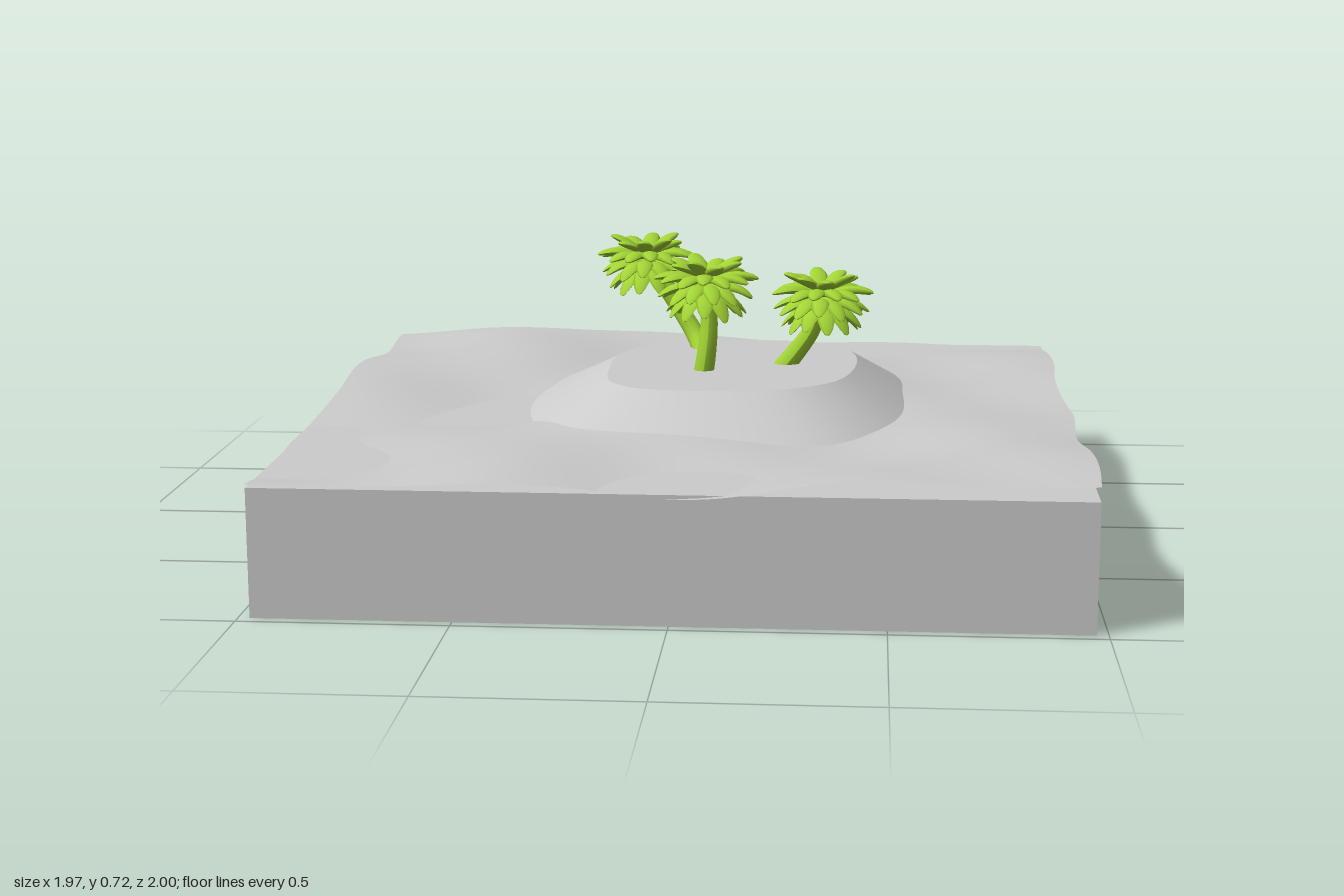
import * as THREE from 'three';
import { mergeGeometries } from 'three/addons/utils/BufferGeometryUtils.js';

const grey = new THREE.MeshStandardMaterial({ color: 0xcccccc });
const greyDouble = new THREE.MeshStandardMaterial({ color: 0xcccccc, side: THREE.DoubleSide });
const green = new THREE.MeshStandardMaterial({ color: 0xa2d435 });

function mesh(name, geometry, material) {
  const m = new THREE.Mesh(geometry, material);
  m.name = name;
  return m;
}

// Rolling water sheet, displaced upwards and a little sideways
function waterGeometry() {
  const g = new THREE.PlaneGeometry(1.95, 1.95, 64, 64).rotateX(-Math.PI / 2);
  const p = g.attributes.position;
  for (let i = 0; i < p.count; i++) {
    const x = p.getX(i), z = p.getZ(i);
    const fade = Math.exp(-3 * x * x);
    const h = 0.326
      + 0.012 * Math.sin(4.2 * (x + z) + 0.6)
      + 0.008 * Math.sin(7 * x + 3 * z + 1.5)
      + 0.006 * Math.sin(5 * z - 9 * x)
      + 0.004 * Math.sin(13 * z + 6 * x)
      + 0.018 * x * z;
    p.setXYZ(i, x + 0.009 * Math.sin(9 * z + 1), h, z + 0.029 * fade * Math.sin(7.85 * x));
  }
  g.computeVertexNormals();
  return g;
}

// Smooth closed outline through [x, z] points
function outline(points, n) {
  const curve = new THREE.CatmullRomCurve3(points.map(([x, z]) => new THREE.Vector3(x, 0, z)), true);
  return Array.from({ length: n }, (_, i) => curve.getPoint(i / n));
}

// Flat-topped island: sloping bank and level cap
function island() {
  const n = 64, topY = 0.415, lowY = 0.29;
  const top = outline([[0.18, -0.43], [0.34, -0.39], [0.41, -0.25], [0.41, 0], [0.36, 0.16], [0.25, 0.26],
    [0.06, 0.3], [-0.13, 0.28], [-0.21, 0.2], [-0.235, 0], [-0.225, -0.2], [-0.15, -0.34], [0, -0.41]], n);
  const foot = outline([[0.3, -0.6], [0.47, -0.54], [0.55, -0.28], [0.55, 0.03], [0.48, 0.26], [0.33, 0.44],
    [0.07, 0.51], [-0.2, 0.46], [-0.32, 0.38], [-0.41, 0.1], [-0.41, -0.2], [-0.34, -0.45], [-0.12, -0.59]], n);
  const pos = [], index = [];
  for (let i = 0; i < n; i++) {
    const low = top[i].clone().lerp(foot[i], 1.35);
    pos.push(top[i].x, topY, top[i].z, low.x, lowY, low.z);
    const a = 2 * i, b = 2 * ((i + 1) % n);
    index.push(a, b, a + 1, b, b + 1, a + 1);
  }
  const bank = new THREE.BufferGeometry();
  bank.setAttribute('position', new THREE.Float32BufferAttribute(pos, 3));
  bank.setIndex(index);
  bank.computeVertexNormals();
  const shape = new THREE.Shape(top.map(v => new THREE.Vector2(v.x, -v.z)));
  const cap = new THREE.ShapeGeometry(shape).rotateX(-Math.PI / 2).translate(0, topY, 0);
  const g = new THREE.Group();
  g.name = 'island';
  g.add(mesh('islandBank', bank, greyDouble), mesh('islandTop', cap, greyDouble));
  return g;
}

// Plump leaf pointing along +x, rising and then drooping
function leaf(length, rise, droop) {
  const g = new THREE.SphereGeometry(1, 8, 8);
  const p = g.attributes.position;
  for (let i = 0; i < p.count; i++) {
    const x = p.getX(i), t = (p.getY(i) + 1) / 2, z = p.getZ(i);
    p.setXYZ(i, 0.015 + t * (length - 0.015), z * 0.011 + rise * t - droop * t * t, x * 0.024);
  }
  g.computeVertexNormals();
  return g;
}

// Layers of leaves: count, length, base height, rise, droop
const layers = [
  [11, 0.105, -0.005, 0.03, 0.08],
  [12, 0.125, 0.015, 0.045, 0.07],
  [13, 0.137, 0.035, 0.06, 0.055],
  [8, 0.1, 0.05, 0.06, 0.022],
];

function crownGeometry() {
  const leaves = [];
  layers.forEach(([count, length, y, rise, droop], k) => {
    for (let i = 0; i < count; i++) {
      const wobble = Math.sin(i * 2.4 + k);
      const l = leaf(length * (1 + 0.04 * wobble), rise + 0.008 * wobble, droop);
      leaves.push(l.rotateY((i / count) * Math.PI * 2 + k * 0.5).translate(0, y, 0));
    }
  });
  return mergeGeometries(leaves);
}

// Tapering trunk along a path
function trunkGeometry(points) {
  const curve = new THREE.CatmullRomCurve3(points.map(v => new THREE.Vector3(...v)));
  const rows = 12, sides = 10;
  const g = new THREE.TubeGeometry(curve, rows, 0.026, sides);
  const p = g.attributes.position, v = new THREE.Vector3();
  for (let i = 0; i < p.count; i++) {
    const t = Math.floor(i / (sides + 1)) / rows;
    const c = curve.getPointAt(t);
    v.fromBufferAttribute(p, i).sub(c).multiplyScalar(1.08 - 0.3 * t).add(c);
    p.setXYZ(i, v.x, v.y, v.z);
  }
  g.computeVertexNormals();
  return g;
}

export function createModel() {
  const model = new THREE.Group();
  model.name = 'islandScene';

  model.add(mesh('base', new THREE.BoxGeometry(1.945, 0.31, 1.945).translate(0, 0.155, 0), grey));
  model.add(mesh('water', waterGeometry(), greyDouble));
  model.add(island());

  // Palms: trunk path from ground to crown
  const palms = [
    [[-0.005, 0.4, -0.29], [-0.03, 0.445, -0.335], [-0.08, 0.52, -0.358], [-0.165, 0.645, -0.355]],
    [[0.015, 0.4, 0.015], [0.025, 0.47, 0.015], [0.03, 0.55, 0.005], [0.022, 0.635, 0]],
    [[0.22, 0.4, -0.09], [0.26, 0.45, -0.09], [0.3, 0.51, -0.085], [0.325, 0.59, -0.072]],
  ];
  const crown = crownGeometry();
  palms.forEach((path, i) => {
    const palm = new THREE.Group();
    palm.name = 'palm' + (i + 1);
    const leaves = mesh('leaves', crown, green);
    leaves.position.set(...path[3]);
    leaves.position.y -= 0.022;
    leaves.rotation.y = i * 1.3;
    palm.add(mesh('trunk', trunkGeometry(path), green), leaves);
    model.add(palm);
  });
  return model;
}
